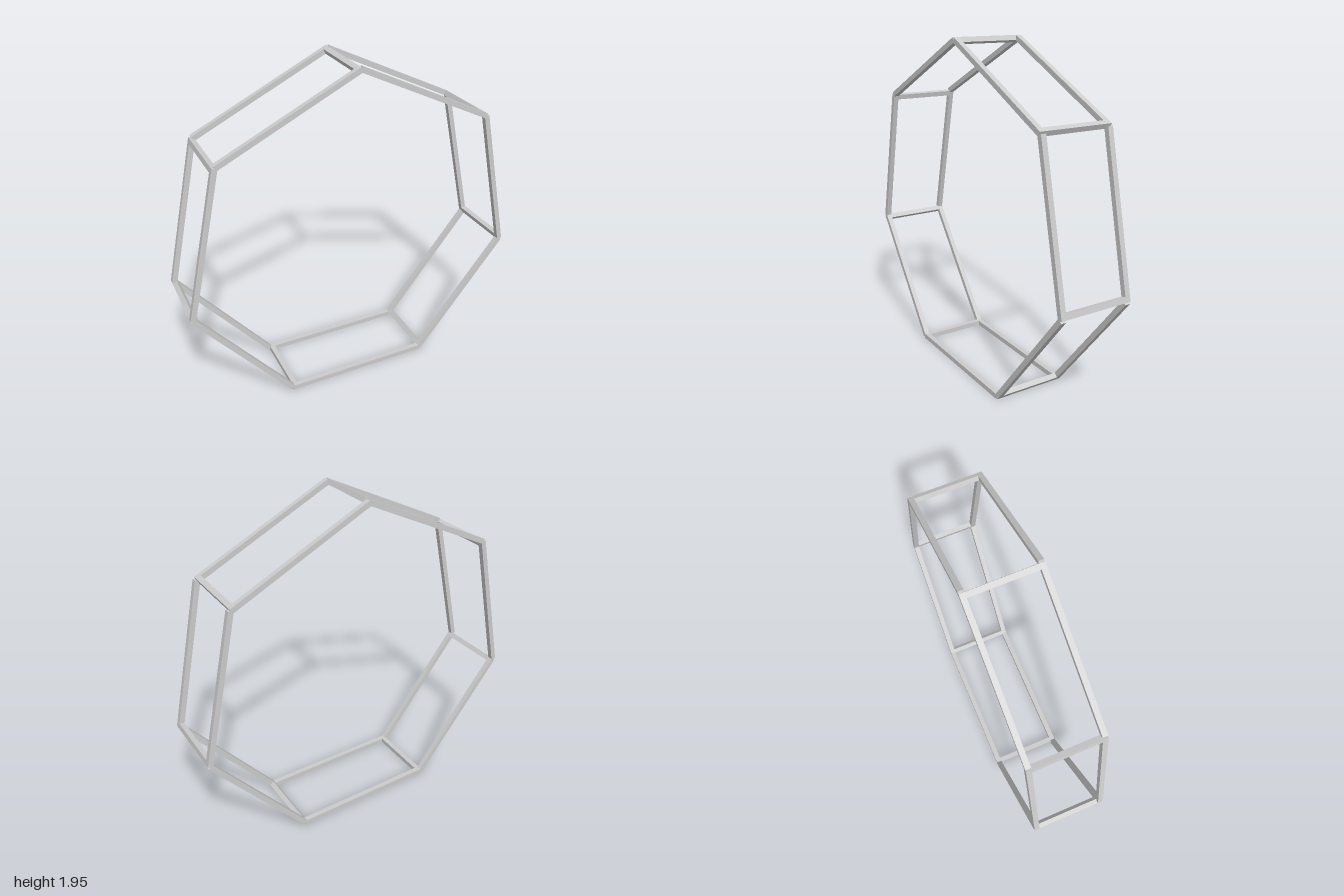
import * as THREE from 'three';

const SIDES = 7;
const BAR = 0.03;        // square bar thickness
const DEPTH = 0.43;      // overall depth front to back
const RADIUS = 1.0107;   // centre line corner radius

export function createModel() {
  const model = new THREE.Group();
  model.name = 'heptagonFrame';
  const material = new THREE.MeshStandardMaterial({ color: 0xcccccc, flatShading: true });

  const side = 2 * RADIUS * Math.sin(Math.PI / SIDES);
  const apothem = RADIUS * Math.cos(Math.PI / SIDES);
  const railGeometry = new THREE.BoxGeometry(side, BAR, BAR);
  const postGeometry = new THREE.BoxGeometry(BAR, BAR, DEPTH - 2 * BAR);

  const addBar = (parent, name, geometry, x, z) => {
    const bar = new THREE.Mesh(geometry, material);
    bar.name = name;
    bar.position.set(x, -apothem, z);
    parent.add(bar);
  };

  // Each side: two long rails and one cross post at its starting corner
  for (let i = 0; i < SIDES; i++) {
    const panel = new THREE.Group();
    panel.name = `sidePanel${i + 1}`;
    const railZ = (DEPTH - BAR) / 2;
    addBar(panel, 'frontRail', railGeometry, 0, railZ);
    addBar(panel, 'backRail', railGeometry, 0, -railZ);
    addBar(panel, 'crossPost', postGeometry, -side / 2 + BAR / 2, 0);
    panel.position.y = apothem + BAR / 2;
    panel.rotation.z = (i * 2 * Math.PI) / SIDES;
    model.add(panel);
  }
  return model;
}
